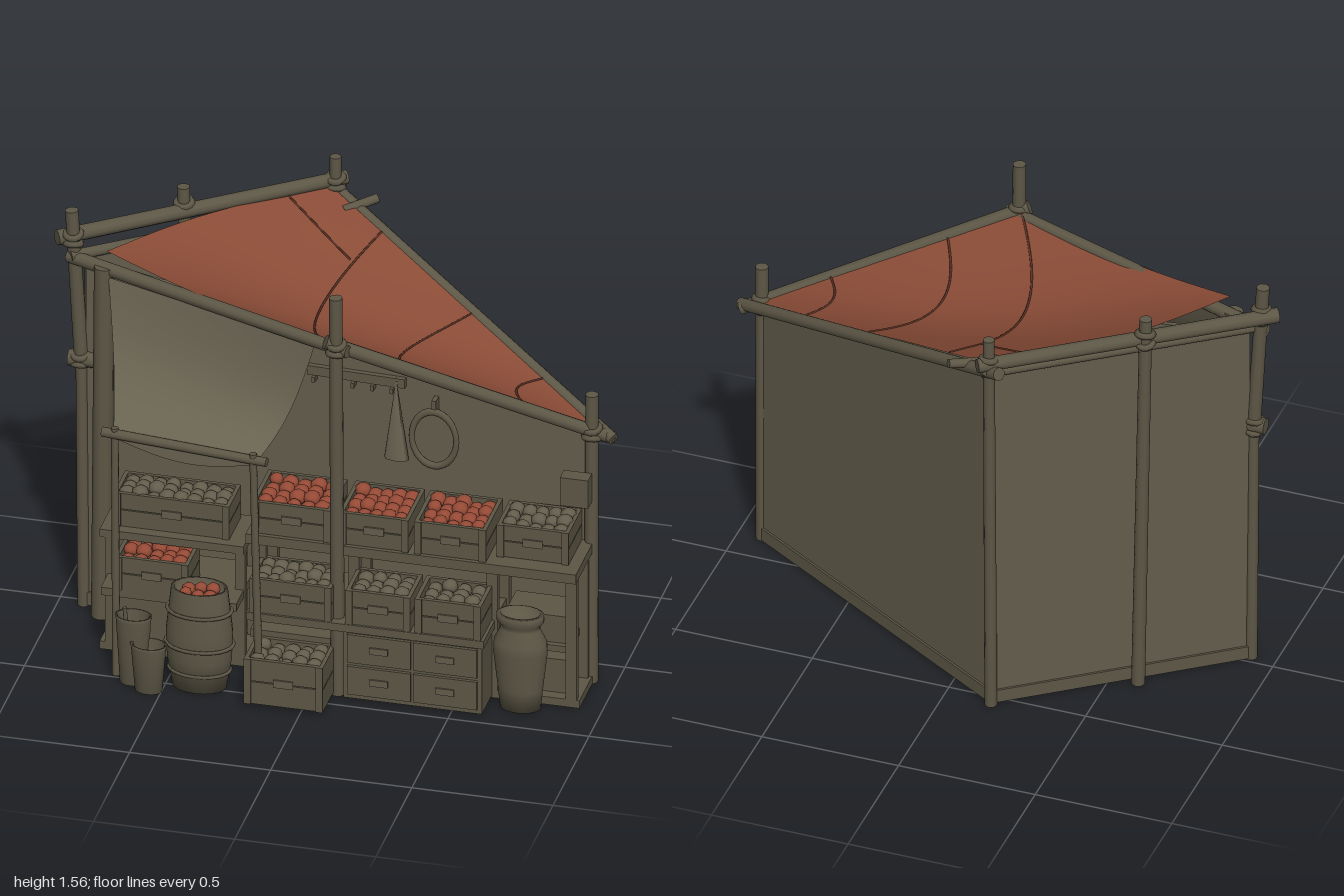
import * as THREE from 'three';

const mat = (name, color, side = THREE.FrontSide) => {
  const m = new THREE.MeshStandardMaterial({ color, side });
  m.name = name;
  return m;
};

export function createModel() {
  const root = new THREE.Group();
  root.name = 'marketStall';
  const wood = mat('weathered wood', 0x5d5746);
  const plank = mat('wall plank', 0x635d4c);
  const cloth = mat('grey cloth', 0x696351, THREE.DoubleSide);
  const roofRed = mat('red canvas', 0x894b36, THREE.DoubleSide);
  const seamBrown = mat('seam brown', 0x5e3426);
  const tomato = mat('tomato red', 0x964a36);
  const V = (x, y, z) => new THREE.Vector3(x, y, z);
  let seed = 7;
  const rnd = () => (seed = (seed * 16807) % 2147483647) / 2147483647;

  const add = (name, geo, m, x = 0, y = 0, z = 0, parent = root) => {
    const o = new THREE.Mesh(geo, m);
    o.name = name;
    o.position.set(x, y, z);
    parent.add(o);
    return o;
  };
  // box given by its extents
  const box = (name, x0, x1, y0, y1, z0, z1, m = wood, parent = root) =>
    add(name, new THREE.BoxGeometry(x1 - x0, y1 - y0, z1 - z0), m, (x0 + x1) / 2, (y0 + y1) / 2, (z0 + z1) / 2, parent);
  // round pole between two points
  const pole = (name, a, b, r = 0.024) => {
    const o = add(name, new THREE.CylinderGeometry(r * 0.92, r, a.distanceTo(b), 10), wood);
    o.position.copy(a).lerp(b, 0.5);
    o.quaternion.setFromUnitVectors(V(0, 1, 0), b.clone().sub(a).normalize());
  };
  const knot = (x, y, z) => {
    for (const s of [-0.018, 0.018])
      add('lashing', new THREE.TorusGeometry(0.027, 0.012, 6, 12), wood, x, y + s, z).rotation.x = Math.PI / 2 + s * 14;
  };
  // cloth patch from a function (u, v) -> point
  const sheet = (name, fn, m, nu = 16, nv = 16) => {
    const g = new THREE.PlaneGeometry(1, 1, nu, nv);
    const p = g.attributes.position;
    for (let i = 0; i < p.count; i++) {
      const q = fn(p.getX(i) + 0.5, p.getY(i) + 0.5);
      p.setXYZ(i, q.x, q.y, q.z);
    }
    g.computeVertexNormals();
    add(name, g, m);
  };
  const bilerp = (a, b, c, d, u, v) => a.clone().lerp(b, u).lerp(d.clone().lerp(c, u), v);

  // posts and their lashings
  pole('leftPost', V(-0.91, 0, 0.03), V(-0.917, 1.0, 0.035), 0.022);
  pole('leftPostTop', V(-0.917, 0.96, 0.035), V(-0.95, 1.55, 0.04), 0.025);
  pole('backLeftPost', V(-0.6, 0, -0.25), V(-0.628, 1.53, -0.25), 0.024);
  pole('backPost', V(-0.17, 0, -0.545), V(-0.17, 1.54, -0.566), 0.022);
  pole('rightPost', V(0.91, 0, 0.12), V(0.915, 1.13, 0.125), 0.025);
  pole('frontPost', V(0.09, 0, 0.42), V(0.085, 1.56, 0.43), 0.025);
  pole('sidePost', V(-0.83, 0, 0.09), V(-0.82, 1.38, 0.1), 0.038);
  pole('stub', V(-0.96, 0.97, 0.04), V(-0.86, 0.97, 0.04), 0.03);
  [[-0.945, 1.44, 0.04], [-0.626, 1.45, -0.25], [-0.17, 1.44, -0.565], [0.914, 0.98, 0.124], [0.086, 1.36, 0.43], [-0.92, 0.97, 0.04]]
    .forEach(k => knot(...k));

  // top beams
  pole('backLeftBeam', V(-1.0, 1.44, 0.05), V(-0.14, 1.445, -0.6), 0.028);
  pole('backLeftLowerBeam', V(-0.95, 1.38, 0.06), V(-0.14, 1.38, -0.55), 0.02);
  pole('backRightBeam', V(-0.22, 1.43, -0.6), V(0.99, 0.96, 0.12), 0.024);
  pole('frontRightBeam', V(0.05, 1.385, 0.435), V(0.985, 0.955, 0.1), 0.025);
  pole('frontLeftBeam', V(-0.96, 1.37, 0.04), V(0.13, 1.355, 0.435), 0.024);
  pole('beamStub', V(-0.12, 1.38, -0.48), V(-0.02, 1.4, -0.56), 0.018);

  // plank wall between two floor points; tops lists [fraction, height]
  const wall = (name, x0, z0, x1, z1, tops) => {
    const L = Math.hypot(x1 - x0, z1 - z0), s = new THREE.Shape();
    s.moveTo(L, 0.01);
    [...tops].reverse().forEach(([f, h]) => s.lineTo(f * L, h));
    s.lineTo(0, 0.01);
    const o = add(name, new THREE.ExtrudeGeometry(s, { depth: 0.016, bevelEnabled: false }), plank, x0, 0, z0);
    o.rotation.y = -Math.atan2(z1 - z0, x1 - x0);
    box('baseRail', 0, L, 0.005, 0.055, -0.008, 0.024, wood, o);
    return o;
  };
  wall('backRightWall', -0.17, -0.54, 0.9, 0.1, [[0, 1.4], [1, 0.97]]);
  wall('backLeftWall', -0.91, 0.02, -0.17, -0.54, [[0, 1.37], [1, 1.37]]);
  const inner = wall('innerWall', -0.9, 0.02, 0.89, 0.105, [[0, 1.36], [0.33, 1.27], [0.51, 1.22], [0.8, 1.09], [1, 0.98]]);

  // sagging canvas roof, bowed out along its back left edge
  const rA = V(-0.81, 1.44, 0.1), rB = V(-0.18, 1.43, -0.55), rC = V(0.92, 0.99, 0.1), rD = V(0.09, 1.38, 0.42);
  const roofAt = (u, v) => {
    const p = bilerp(rA, rB, rC, rD, u, v), su = Math.sin(Math.PI * u), sv = Math.sin(Math.PI * v);
    const bow = 0.05 * su * (1 - v);
    p.x -= bow * 0.7;
    p.z -= bow * 0.7;
    p.y -= 0.07 * su * sv + 0.03 * sv * (1 - u);
    return p;
  };
  sheet('roofCanvas', roofAt, roofRed, 20, 20);
  // seams: start uv, end uv, bow
  for (const [u0, v0, u1, v1, k] of [[1, 0.19, 0, 0.98, 0.09], [1, 0.53, 0.27, 1, 0.07], [1, 0.8, 0.72, 1, 0.03], [0.82, 0, 0.8, 0.26, 0]]) {
    const pts = [];
    for (let i = 0; i <= 12; i++) {
      const t = i / 12, b = k * Math.sin(Math.PI * t);
      pts.push(roofAt(u0 + (u1 - u0) * t - b, v0 + (v1 - v0) * t - b).add(V(0, 0.001, 0)));
    }
    add('roofSeam', new THREE.TubeGeometry(new THREE.CatmullRomCurve3(pts), 30, 0.004, 5), seamBrown);
  }

  // front awning, its rail and poles
  const aw = [V(-0.8, 1.35, 0.12), V(0.0, 1.34, 0.39), V(-0.16, 0.95, 0.54), V(-0.69, 0.95, 0.48)];
  sheet('awning', (u, v) => {
    const p = bilerp(aw[0], aw[1], aw[2], aw[3], u, v), s = Math.sin(Math.PI * v);
    p.y -= 0.06 * s;
    p.z -= 0.04 * s;
    return p;
  }, cloth);
  sheet('awningFlap', (u, v) => {
    const p = aw[3].clone().lerp(aw[2], 0.03 + u * 0.94);
    p.y -= v * (0.025 + 0.045 * Math.sin(Math.PI * u));
    return p;
  }, cloth, 12, 2);
  pole('awningRail', V(-0.73, 0.945, 0.475), V(-0.13, 0.945, 0.545), 0.018);
  pole('awningPoleLeft', V(-0.68, 0, 0.48), V(-0.685, 0.97, 0.48), 0.014);
  pole('awningPoleRight', V(-0.16, 0.1, 0.54), V(-0.18, 0.97, 0.54), 0.014);

  // heap of fruit
  const heap = (x0, x1, y, z0, z1, m, r = 0.028) => {
    const nx = Math.max(1, Math.round((x1 - x0) / (r * 1.7))), nz = Math.max(1, Math.round((z1 - z0) / (r * 1.7)));
    for (let i = 0; i < nx; i++) for (let j = 0; j < nz; j++) {
      const o = add('produce', new THREE.SphereGeometry(r * (0.9 + 0.25 * rnd()), 8, 6), m,
        x0 + (x1 - x0) * (i + 0.5) / nx, y + (rnd() - 0.5) * 0.02, z0 + (z1 - z0) * (j + 0.5) / nz);
      o.scale.y = 0.85;
    }
  };
  // open crate with slatted sides, handle plate and produce
  const crate = (x0, x1, y0, y1, z0, z1, fill) => {
    const t = 0.014, g = new THREE.Group(), h = (y1 - y0) / 2, c = (x0 + x1) / 2;
    g.name = 'crate';
    root.add(g);
    box('crateBottom', x0, x1, y0, y0 + t, z0, z1, wood, g);
    for (let k = 0; k < 2; k++) {
      const a = y0 + k * h + 0.002, b = y0 + (k + 1) * h - 0.002;
      box('frontSlat', x0, x1, a, b, z1 - t, z1, wood, g);
      box('backSlat', x0, x1, a, b, z0, z0 + t, wood, g);
      box('sideSlat', x0, x0 + t, a, b, z0 + t, z1 - t, wood, g);
      box('sideSlat', x1 - t, x1, a, b, z0 + t, z1 - t, wood, g);
    }
    for (const x of [x0, x1 - 0.025]) box('crateCorner', x, x + 0.025, y0, y1, z1, z1 + 0.006, wood, g);
    box('handlePlate', c - 0.035, c + 0.035, y0 + h - 0.012, y0 + h + 0.017, z1, z1 + 0.006, plank, g);
    box('crateFill', x0 + t, x1 - t, y1 - 0.055, y1 - 0.035, z0 + t, z1 - t, wood, g);
    heap(x0 + t, x1 - t, y1 - 0.02, z0 + t, z1 - t, fill);
  };

  // right-hand stepped counter
  box('upperShelf', -0.25, 0.92, 0.515, 0.552, 0.1, 0.37);
  for (const x of [-0.23, 0.1, 0.59, 0.87]) for (const z of [0.13, 0.29]) box('counterLeg', x, x + 0.04, 0, 0.515, z, z + 0.03);
  box('middleShelf', -0.22, 0.62, 0.275, 0.305, 0.12, 0.475);
  box('lowerShelf', -0.22, 0.1, 0.18, 0.21, 0.14, 0.42);
  box('drawerBlock', 0.12, 0.61, 0.01, 0.275, 0.14, 0.46);
  for (const y of [0.03, 0.155]) for (const x of [0.135, 0.37]) {
    box('drawerFront', x, x + 0.225, y, y + 0.11, 0.46, 0.472);
    box('drawerHandle', x + 0.08, x + 0.145, y + 0.045, y + 0.07, 0.472, 0.478, plank);
  }
  box('sideStandShelf', 0.63, 0.88, 0.2, 0.225, 0.12, 0.3);
  box('sideStandBox', 0.65, 0.86, 0.225, 0.33, 0.14, 0.28);
  box('sideStandLowBox', 0.65, 0.86, 0.03, 0.16, 0.14, 0.28);
  box('floorRail', -0.78, 0.92, 0, 0.03, 0.1, 0.32);
  [[-0.23, 0.05, 0.36, tomato], [0.08, 0.325, 0.36, tomato], [0.345, 0.6, 0.36, tomato], [0.625, 0.88, 0.31, plank]]
    .forEach(([a, b, z, m]) => crate(a, b, 0.555, 0.68, 0.13, z, m));
  [[-0.21, 0.08], [0.13, 0.36], [0.375, 0.61]].forEach(([a, b]) => crate(a, b, 0.307, 0.44, 0.3, 0.47, plank));
  crate(-0.2, 0.08, 0.015, 0.19, 0.42, 0.59, plank);

  // left-hand table and crates
  box('leftTable', -0.78, -0.27, 0.44, 0.47, 0.1, 0.32);
  box('leftStep', -0.75, -0.27, 0.27, 0.3, 0.12, 0.42);
  for (const x of [-0.76, -0.3]) for (const z of [0.12, 0.29]) box('tableLeg', x, x + 0.035, 0, 0.44, z, z + 0.03);
  box('tablePanel', -0.75, -0.28, 0.02, 0.27, 0.3, 0.32);
  crate(-0.74, -0.33, 0.47, 0.6, 0.12, 0.28, plank);
  crate(-0.7, -0.44, 0.3, 0.43, 0.26, 0.42, tomato);

  // turned vessels, flattened front to back
  const vessel = (name, x, z, pts, sy = 1) => {
    const g = new THREE.Group();
    g.name = name;
    g.position.set(x, 0, z);
    g.scale.set(1, sy, 0.7);
    root.add(g);
    add(name + 'Body', new THREE.LatheGeometry(pts.map(p => new THREE.Vector2(...p)), 20), wood, 0, 0, 0, g);
    return g;
  };
  const barrel = vessel('barrel', -0.385, 0.48, [[0, 0], [0.095, 0], [0.115, 0.12], [0.118, 0.22], [0.1, 0.385], [0.088, 0.385], [0.088, 0.35], [0, 0.35]]);
  for (const [y, r] of [[0.07, 0.108], [0.17, 0.119], [0.3, 0.113]])
    add('barrelHoop', new THREE.TorusGeometry(r, 0.007, 6, 24), wood, 0, y, 0, barrel).rotation.x = Math.PI / 2;
  heap(-0.45, -0.32, 0.368, 0.435, 0.525, tomato, 0.024);
  vessel('milkCan', 0.72, 0.355, [[0, 0], [0.072, 0], [0.08, 0.08], [0.096, 0.22], [0.094, 0.26], [0.07, 0.31], [0.07, 0.325],
    [0.084, 0.34], [0.084, 0.365], [0.07, 0.37], [0.065, 0.34], [0, 0.33]]);
  const pail = [[0, 0], [0.048, 0], [0.062, 0.17], [0.066, 0.18], [0.056, 0.18], [0.042, 0.015], [0, 0.015]];
  for (const [x, z, sy] of [[-0.61, 0.515, 1.45], [-0.545, 0.56, 1]]) vessel('bucket', x, z, pail, sy);
  pole('trowelHandle', V(-0.62, 0.03, 0.515), V(-0.64, 0.29, 0.52), 0.008);

  // rail, towel and hoop hung on the inner wall
  const rack = new THREE.Group();
  rack.name = 'wallRack';
  rack.position.set(0.9, 0, 0.01);
  inner.add(rack);
  box('rackBoard', -0.1, 0.25, 1.05, 1.085, 0.006, 0.025, wood, rack);
  for (let i = 0; i < 5; i++) box('rackPeg', -0.08 + i * 0.07, -0.068 + i * 0.07, 1.03, 1.05, 0.006, 0.04, wood, rack);
  add('towel', new THREE.ConeGeometry(0.045, 0.32, 7, 1, true), cloth, 0.22, 0.93, 0.025, rack).scale.z = 0.4;
  add('hangingHoop', new THREE.TorusGeometry(0.08, 0.011, 8, 28), wood, 0.36, 0.88, 0.04, rack).scale.y = 1.32;
  box('hoopHook', 0.352, 0.368, 0.98, 1.03, 0.006, 0.045, wood, rack);

  // small box fixed to the right post
  box('postBox', 0.82, 0.92, 0.72, 0.83, 0.145, 0.2);
  return root;
}
